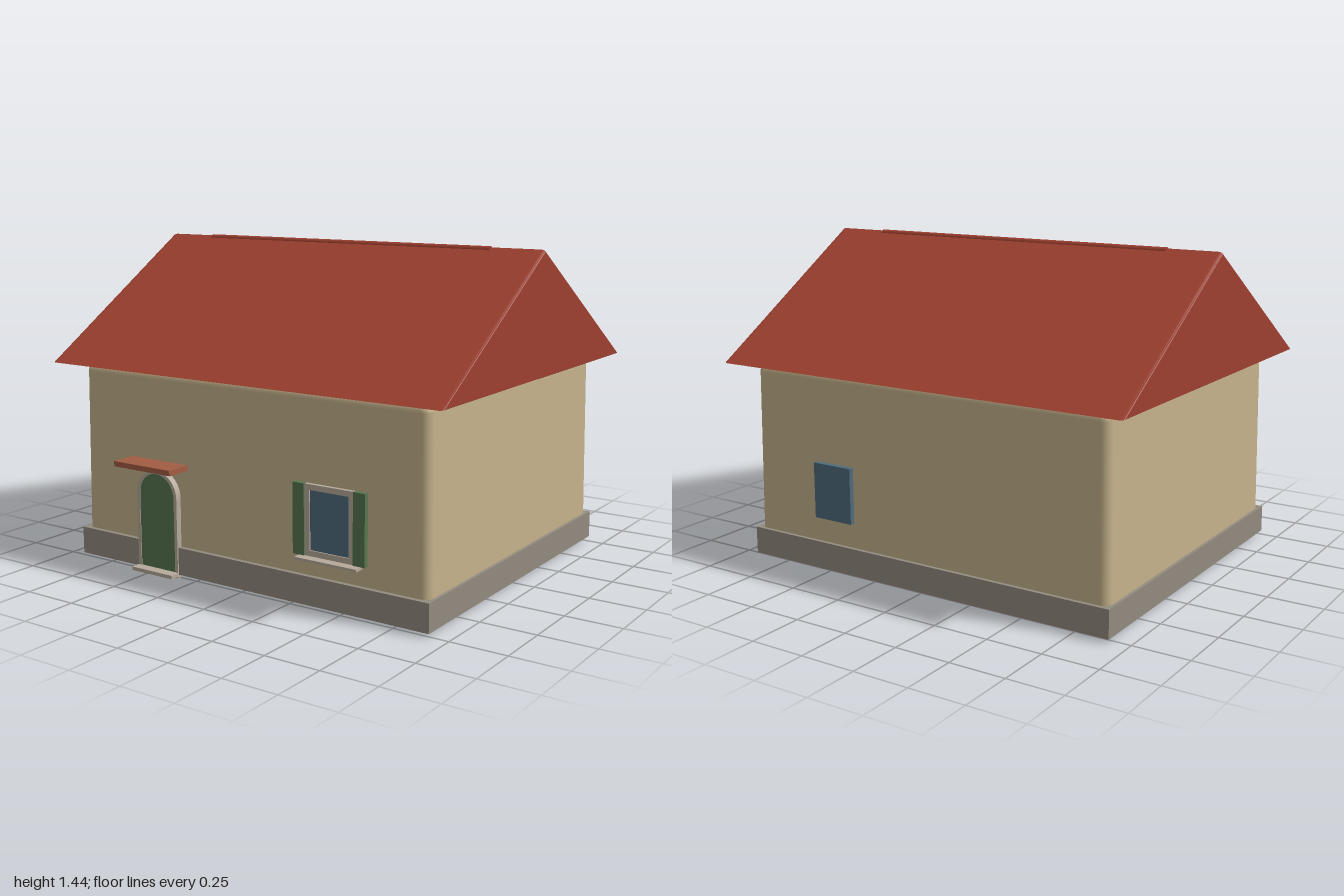
import * as THREE from 'three';
import { RoundedBoxGeometry } from 'three/addons/geometries/RoundedBoxGeometry.js';

const mat = (color) => new THREE.MeshStandardMaterial({ color });
const wallMat = mat(0xc6b38c), stoneMat = mat(0x938b80), roofMat = mat(0x9e402f);
const greenMat = mat(0x587650), glassMat = mat(0x4f6b7c), trimMat = mat(0xb5aa9a), tileMat = mat(0xa25c42);

export function createModel() {
  const house = new THREE.Group();
  const add = (name, geometry, material, parent = house) => {
    const mesh = new THREE.Mesh(geometry, material);
    mesh.name = name;
    parent.add(mesh);
    return mesh;
  };
  // Box given by its lower and upper limits on each axis
  const box = (name, [x0, x1], [y0, y1], [z0, z1], material, parent) => {
    const mesh = add(name, new THREE.BoxGeometry(x1 - x0, y1 - y0, z1 - z0), material, parent);
    mesh.position.set((x0 + x1) / 2, (y0 + y1) / 2, (z0 + z1) / 2);
    return mesh;
  };
  const midZ = -0.012;

  // Walls: rounded block, slightly narrower at the top
  const wallGeo = new RoundedBoxGeometry(1.81, 0.887, 1.505, 4, 0.04);
  const p = wallGeo.attributes.position;
  for (let i = 0; i < p.count; i++) {
    const t = p.getY(i) / 0.887 + 0.5;
    p.setX(i, p.getX(i) * (1 - 0.014 * t));
    p.setZ(i, p.getZ(i) * (1 - 0.01 * t));
  }
  add('walls', wallGeo, wallMat).position.set(0, 0.4615, midZ);

  // Plinth: stone band around the foot of the walls
  const rect = (Target, hx, hz) => new Target([[-hx, -hz], [hx, -hz], [hx, hz], [-hx, hz]]
    .map(([x, y]) => new THREE.Vector2(x, y)));
  const band = rect(THREE.Shape, 0.917, 0.77);
  band.holes.push(rect(THREE.Path, 0.865, 0.71));
  const plinthGeo = new THREE.ExtrudeGeometry(band, { depth: 0.123, bevelEnabled: false });
  plinthGeo.rotateX(-Math.PI / 2);
  add('plinth', plinthGeo, stoneMat).position.set(0, 0.015, -0.01);

  // Roof: triangular prism with softened gable ends
  const gable = new THREE.Shape();
  gable.moveTo(-0.835, 0.905);
  gable.lineTo(0.835, 0.905);
  gable.lineTo(0, 1.438);
  gable.closePath();
  const roofGeo = new THREE.ExtrudeGeometry(gable, {
    depth: 1.96, bevelThickness: 0.02, bevelSize: 0.008, bevelOffset: -0.008, bevelSegments: 3,
  });
  roofGeo.translate(0, 0, -0.98);
  roofGeo.rotateY(Math.PI / 2);
  add('roof', roofGeo, roofMat).position.z = midZ;
  const ridgeGeo = new THREE.CylinderGeometry(0.016, 0.016, 1.5, 12);
  ridgeGeo.rotateZ(Math.PI / 2);
  add('ridge', ridgeGeo, roofMat).position.set(0, 1.427, midZ);

  // Arched door with its surround, step and canopy
  const arch = (Target, r, base, spring) => {
    const s = new Target();
    s.moveTo(-r, base);
    s.lineTo(r, base);
    s.lineTo(r, spring);
    s.absarc(0, spring, r, 0, Math.PI, false);
    s.closePath();
    return s;
  };
  const door = new THREE.Group();
  door.name = 'door';
  door.position.x = -0.455;
  house.add(door);
  const extrude = (shape, depth) =>
    new THREE.ExtrudeGeometry(shape, { depth, bevelEnabled: false, curveSegments: 16 });
  add('doorLeaf', extrude(arch(THREE.Shape, 0.1, 0.015, 0.355), 0.035), greenMat, door).position.z = 0.728;
  const surround = arch(THREE.Shape, 0.114, 0, 0.355);
  surround.holes.push(arch(THREE.Path, 0.098, 0.01, 0.355));
  add('doorSurround', extrude(surround, 0.035), trimMat, door).position.z = 0.731;
  box('doorstep', [-0.115, 0.115], [0.008, 0.024], [0.72, 0.81], trimMat, door);
  box('canopy', [-0.16, 0.157], [0.495, 0.508], [0.72, 0.855], tileMat, door);
  box('canopyEdge', [-0.16, 0.157], [0.484, 0.495], [0.72, 0.853], tileMat, door);

  // Front window with frame, sill and shutters
  const win = new THREE.Group();
  win.name = 'frontWindow';
  win.position.x = 0.45;
  house.add(win);
  box('glass', [-0.1, 0.1], [0.245, 0.505], [0.72, 0.748], glassMat, win);
  for (const s of [-1, 1]) {
    box('frameSide', s < 0 ? [-0.118, -0.095] : [0.095, 0.118], [0.224, 0.524], [0.72, 0.754], trimMat, win);
    box('shutter', s < 0 ? [-0.174, -0.118] : [0.118, 0.174], [0.224, 0.525], [0.72, 0.76], greenMat, win);
  }
  for (const y of [0.224, 0.5])
    box('frameRail', [-0.095, 0.095], [y, y + 0.024], [0.72, 0.754], trimMat, win);
  box('sill', [-0.15, 0.15], [0.209, 0.22], [0.72, 0.785], trimMat, win);

  // Back window
  box('backWindow', [0.35, 0.55], [0.25, 0.5], [-0.785, -0.74], glassMat);

  return house;
}
